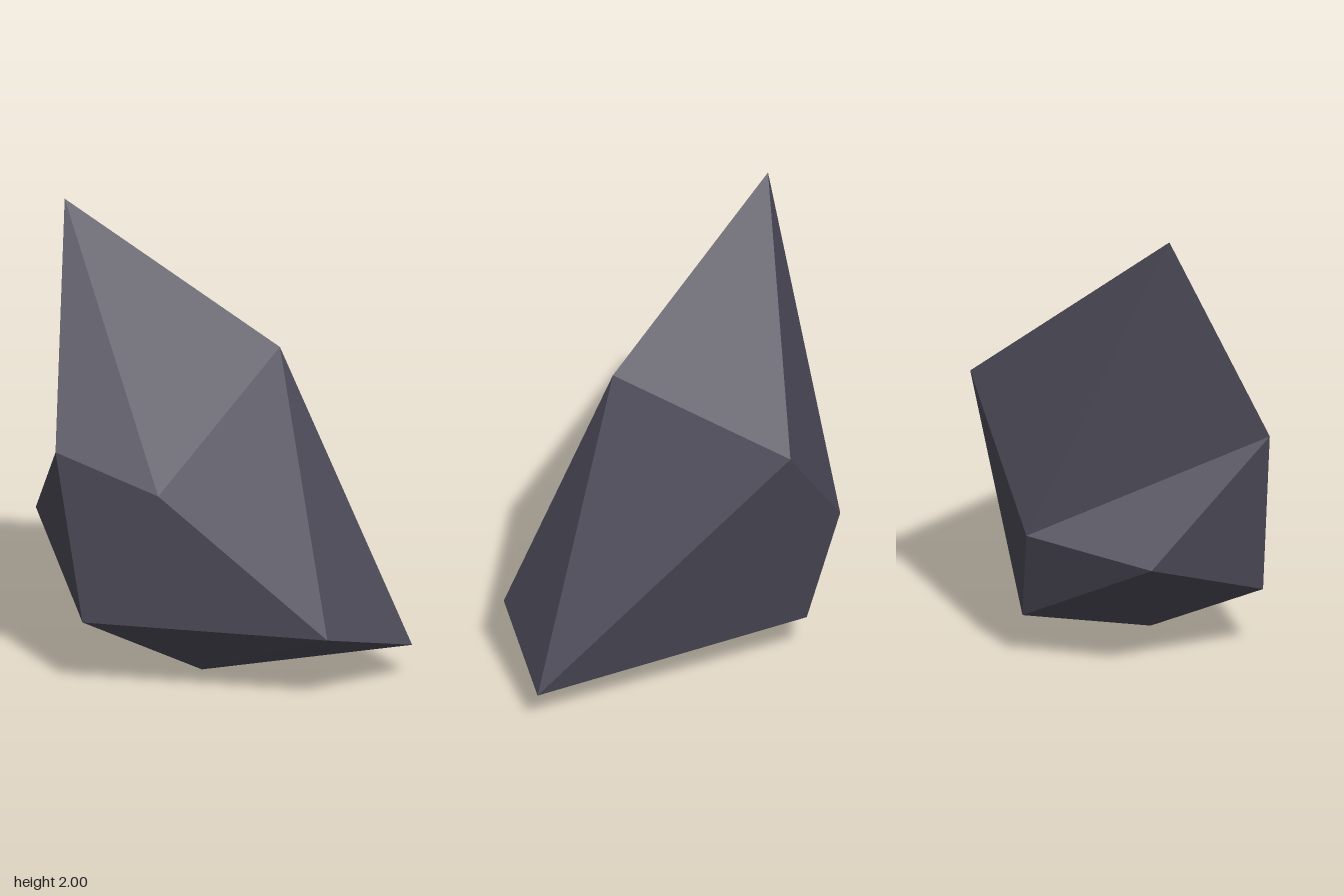
import * as THREE from 'three';

// Corner points of the faceted boulder
const corners = {
  A: [-0.62, 2.0, 0.21],   // peak
  B: [0.28, 1.44, 0.02],   // shoulder
  C: [-0.45, 1.05, 0.62],
  D: [-0.02, 0.9, 0.53],
  E: [-0.79, 0.59, 0.14],
  F: [-0.34, 0.31, 0.59],
  G: [0.64, 0.3, 0.29],
  H: [0.79, 0.15, -0.18],
  I: [-0.03, 0.0, 0.12],   // lowest point
  J: [-0.4, 0.21, -0.4],
  K: [-0.17, 1.21, -0.62],
  L: [-0.58, 0.65, -0.38],
};

// Triangular facets, grouped by side
const facets = [
  'ACD ADB BDG DGF DCF CEF', // front
  'BGH KHB ABK',             // right and top
  'AKL LJK KJH',             // back
  'ALC LCE LEJ',             // left, with the notch under the peak
  'EFI EIJ IJH IHG IGF',     // underside
].join(' ').split(' ');

// Builds flat facets, turning each one to face away from the core
function facetedGeometry() {
  const core = new THREE.Vector3(0, 0.8, 0.05);
  const points = [];
  for (const name of facets) {
    const [a, b, c] = [...name].map((k) => new THREE.Vector3(...corners[k]));
    const normal = new THREE.Triangle(a, b, c).getNormal(new THREE.Vector3());
    const outward = normal.dot(a.clone().sub(core)) > 0;
    points.push(...(outward ? [a, b, c] : [a, c, b]));
  }
  const geometry = new THREE.BufferGeometry().setFromPoints(points);
  geometry.computeVertexNormals();
  return geometry;
}

export function createModel() {
  const stone = new THREE.MeshStandardMaterial({ color: 0x4d4b59 });
  stone.name = 'dark stone';
  stone.flatShading = true;

  const rock = new THREE.Mesh(facetedGeometry(), stone);
  rock.name = 'rock';

  const model = new THREE.Group();
  model.name = 'boulder';
  model.add(rock);
  return model;
}
